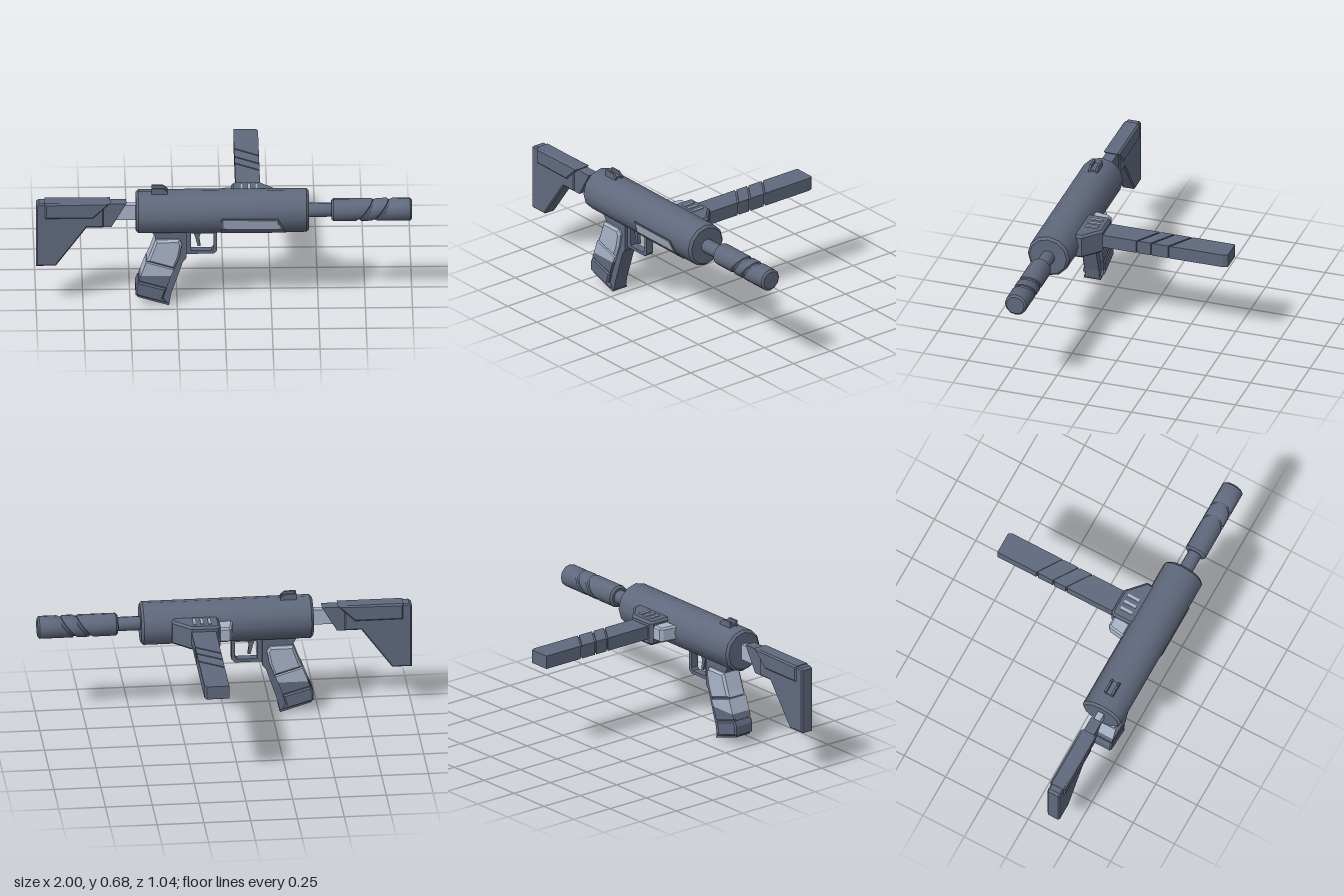
import * as THREE from 'three';
import { toCreasedNormals } from 'three/addons/utils/BufferGeometryUtils.js';

const AXIS_Y = 0.534, AXIS_Z = 0.402, SIDES = 12;

export function createModel() {
  const root = new THREE.Group();
  root.name = 'toyBlaster';
  const slate = new THREE.MeshStandardMaterial({ color: 0x60697d });
  slate.name = 'slate';
  const silver = new THREE.MeshStandardMaterial({ color: 0xaab5ca });
  silver.name = 'silver';

  const add = (name, geo, mat = slate) => {
    const mesh = new THREE.Mesh(geo, mat);
    mesh.name = name;
    root.add(mesh);
    return mesh;
  };

  // Outline extruded by a depth, with an inward bevel
  const extrude = (pts, depth, bevel = 0, hole) => {
    const shape = new THREE.Shape(pts.map(p => new THREE.Vector2(...p)));
    if (hole) shape.holes.push(new THREE.Path(hole.map(p => new THREE.Vector2(...p))));
    const geo = new THREE.ExtrudeGeometry(shape, {
      depth: depth - 2 * bevel, bevelEnabled: bevel > 0, bevelSize: bevel,
      bevelThickness: bevel, bevelOffset: -bevel, bevelSegments: 1,
    });
    return geo.translate(0, 0, bevel);
  };
  // Side outline (x, y), centred on the body axis
  const sidePlate = (pts, width, bevel, hole) =>
    extrude(pts, width, bevel, hole).translate(0, 0, AXIS_Z - width / 2);
  // Plan outline (x, z), between two heights
  const planPlate = (pts, y0, y1, bevel) =>
    extrude(pts, y1 - y0, bevel).rotateX(Math.PI / 2).translate(0, y1, 0);
  const box = (x0, x1, y0, y1, z0, z1) =>
    new THREE.BoxGeometry(x1 - x0, y1 - y0, z1 - z0)
      .translate((x0 + x1) / 2, (y0 + y1) / 2, (z0 + z1) / 2);

  // Turned part along x from [radius, x, slant] points; slant tilts that ring
  const turned = profile => {
    const pts = profile.map(([r, x]) => new THREE.Vector2(r, x));
    const geo = new THREE.LatheGeometry(pts, SIDES).rotateZ(-Math.PI / 2);
    const pos = geo.attributes.position;
    for (let i = 0; i < pos.count; i++) {
      const slant = profile[i % profile.length][2] || 0;
      pos.setX(i, pos.getX(i) + slant * pos.getY(i));
    }
    return toCreasedNormals(geo, 0.65).translate(0, AXIS_Y, AXIS_Z);
  };

  // Main body and barrel
  add('body', turned([[0, -0.47], [0.104, -0.47], [0.117, -0.457], [0.117, 0.437], [0.104, 0.45], [0, 0.45]]));
  add('barrel', turned([[0.038, 0.44], [0.038, 0.58]]));

  // Muzzle: three sleeves split by slanted grooves over an inner core
  const R = 0.061, r = 0.05, s = 0.77;
  add('muzzleCore', turned([[0.054, 0.6], [0.054, 0.97]]));
  add('muzzleRear', turned([[0, 0.57], [r, 0.57], [R, 0.581], [R, 0.742, s], [0.054, 0.749, s]]));
  add('muzzleMiddle', turned([[0.054, 0.761, s], [R, 0.768, s], [R, 0.826, s], [0.054, 0.833, s]]));
  add('muzzleFront', turned([[0.054, 0.845, s], [R, 0.852, s], [R, 0.989], [r, 0.999], [0, 0.999]]));

  // Ejection window, lying on the facets below the front edge
  const onFacet = (name, pts, depth, degrees, mat) => {
    const a = THREE.MathUtils.degToRad(degrees);
    const apothem = 0.117 * Math.cos(Math.PI / SIDES);
    add(name, extrude(pts, depth).translate(0, 0, apothem).rotateX(a)
      .translate(0, AXIS_Y, AXIS_Z), mat);
  };
  onFacet('windowFrame', [[-0.017, -0.031], [0.312, -0.031], [0.285, 0.036], [-0.017, 0.036]], 0.004, 15);
  onFacet('windowFrameLower', [[-0.017, -0.031], [0.33, -0.031], [0.312, 0.031], [-0.017, 0.031]], 0.004, 45);
  onFacet('ejectionWindow', [[-0.006, -0.029], [0.3, -0.029], [0.277, 0.027], [-0.006, 0.027]], 0.006, 15, silver);

  // Rear sight
  add('sightBase', box(-0.385, -0.305, 0.635, 0.659, 0.377, 0.427));
  for (const side of [-1, 1]) {
    add('sightPost', extrude([[-0.385, 0.64], [-0.3, 0.64], [-0.3, 0.657], [-0.325, 0.677], [-0.385, 0.677]], 0.012)
      .translate(0, 0, AXIS_Z - 0.006 + side * 0.02));
  }

  // Stock
  add('stockRod', box(-0.6, -0.46, 0.49, 0.575, 0.384, 0.42), silver);
  add('stock', sidePlate([[-1, 0.585], [-0.985, 0.596], [-0.64, 0.596], [-0.64, 0.455], [-0.73, 0.455],
    [-0.895, 0.23], [-1, 0.23]], 0.074, 0.007));
  add('stockNeck', sidePlate([[-0.74, 0.592], [-0.52, 0.592], [-0.6, 0.455], [-0.74, 0.455]], 0.062));
  add('cheekRest', sidePlate([[-0.955, 0.6], [-0.605, 0.6], [-0.695, 0.508], [-0.955, 0.508]], 0.09, 0.01));

  // Grip: slate core with silver cheeks, and slate lower bands
  add('gripCore', sidePlate([[-0.39, 0.44], [-0.2, 0.44], [-0.2, 0.275], [-0.22, 0.25], [-0.283, 0.06],
    [-0.292, 0.005], [-0.46, 0.055], [-0.46, 0.12], [-0.395, 0.29], [-0.36, 0.385]], 0.08));
  add('gripCheeksUpper', sidePlate([[-0.365, 0.387], [-0.238, 0.387], [-0.224, 0.36], [-0.238, 0.285],
    [-0.265, 0.217], [-0.413, 0.262], [-0.4, 0.29]], 0.122, 0.012), silver);
  add('gripCheeksMiddle', sidePlate([[-0.415, 0.257], [-0.267, 0.212], [-0.282, 0.178], [-0.444, 0.178]], 0.116), silver);
  add('gripBand', sidePlate([[-0.444, 0.178], [-0.282, 0.178], [-0.307, 0.107], [-0.455, 0.15]], 0.116));
  add('gripFoot', sidePlate([[-0.458, 0.144], [-0.308, 0.1], [-0.325, 0.045], [-0.31, 0.02],
    [-0.472, 0.065], [-0.472, 0.115]], 0.122, 0.008));
  add('gripBase', sidePlate([[-0.465, 0.06], [-0.29, 0.01], [-0.295, 0], [-0.46, 0.05]], 0.094));

  // Trigger and guard
  add('triggerGuard', sidePlate([[-0.21, 0.43], [-0.037, 0.43], [-0.037, 0.308], [-0.055, 0.29], [-0.21, 0.29]],
    0.044, 0, [[-0.175, 0.41], [-0.175, 0.308], [-0.067, 0.308], [-0.056, 0.32], [-0.056, 0.41]]));
  add('trigger', sidePlate([[-0.165, 0.42], [-0.12, 0.42], [-0.132, 0.38], [-0.125, 0.33], [-0.14, 0.33], [-0.152, 0.375]], 0.02));

  // Magazine mount with vents above and below, and a release catch
  add('magazineMount', planPlate([[0.055, 0.18], [0.195, 0.18], [0.29, 0.268], [0.29, 0.32], [0.04, 0.32],
    [0.04, 0.198]], 0.463, 0.597, 0.012));
  for (const x of [0.095, 0.135, 0.175]) {
    for (const y of [0.465, 0.599]) {
      add('vent', box(x - 0.008, x + 0.008, y - 0.004, y + 0.004, 0.212, 0.283), silver);
    }
  }
  add('releaseCatch', planPlate([[0.05, 0.2], [-0.01, 0.2], [-0.022, 0.215], [-0.035, 0.3], [0.05, 0.3]],
    0.492, 0.575, 0.01), silver);

  // Magazine: blocks split by slanted grooves over an inner core
  const x0 = 0.065, x1 = 0.196, slope = 0.088;
  add('magazineCore', box(x0 + 0.006, x1 - 0.006, 0.503, 0.563, -0.5, 0.19));
  const cuts = [-0.1, -0.18, -0.278];
  let top = [0.2, 0.2];
  for (const z of cuts) {
    add('magazineBlock', planPlate([[x0, top[0]], [x1, top[1]], [x1, z + slope + 0.005], [x0, z + 0.005]], 0.497, 0.57));
    top = [z - 0.005, z + slope - 0.005];
  }
  add('magazineEnd', planPlate([[x0, top[0]], [x1, top[1]], [x1, -0.495], [0.185, -0.518], [x0, -0.518]], 0.497, 0.57));

  return root;
}
